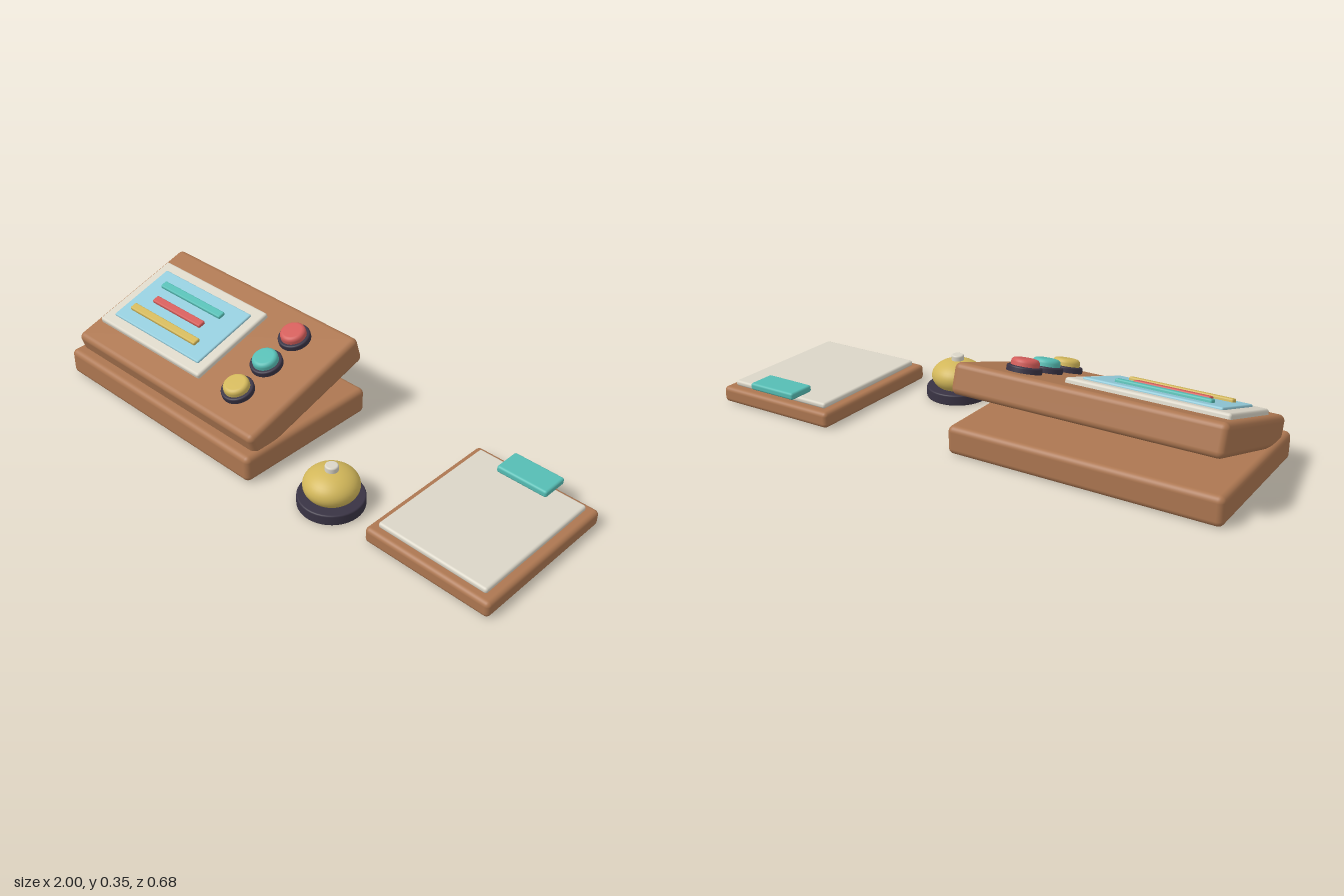
import * as THREE from 'three';
import { RoundedBoxGeometry } from 'three/addons/geometries/RoundedBoxGeometry.js';

const paint = (name, color) => {
  const m = new THREE.MeshStandardMaterial({ color });
  m.name = name;
  return m;
};

export function createModel() {
  const wood = paint('wood', 0xad7751);
  const cream = paint('cream', 0xdad5c7);
  const glass = paint('pale blue glass', 0x93cbda);
  const teal = paint('teal', 0x56bdb4);
  const red = paint('red', 0xd35d5a);
  const gold = paint('gold', 0xd2b75a);
  const dark = paint('dark plum', 0x393344);

  const add = (parent, name, geometry, material, x, y, z) => {
    const mesh = new THREE.Mesh(geometry, material);
    mesh.name = name;
    mesh.position.set(x, y, z);
    parent.add(mesh);
    return mesh;
  };
  const group = (parent, name) => {
    const g = new THREE.Group();
    g.name = name;
    parent.add(g);
    return g;
  };
  const slab = (w, h, d, r) => new RoundedBoxGeometry(w, h, d, 4, r);

  // Disc standing on y = 0 with rounded rims
  const disc = (r, h, bottomRim, topRim) => {
    const pts = [new THREE.Vector2(0, 0)];
    const arc = (rim, y, start) => {
      for (let i = 0; i <= 5; i++) {
        const a = start + (i / 5) * Math.PI / 2;
        pts.push(new THREE.Vector2(r - rim + rim * Math.cos(a), y + rim * Math.sin(a)));
      }
    };
    arc(bottomRim, bottomRim, -Math.PI / 2);
    arc(topRim, h - topRim, 0);
    pts.push(new THREE.Vector2(0, h));
    return new THREE.LatheGeometry(pts, 40);
  };

  const model = new THREE.Group();
  model.name = 'deskSet';

  // Console: flat base and a tilted control panel
  const desk = group(model, 'console');
  add(desk, 'consoleBase', slab(1.01, 0.105, 0.606, 0.022), wood, -0.495, 0.0525, 0.037);
  const panel = group(desk, 'controlPanel');
  panel.position.set(0, 0.198, 0.0215);
  panel.rotation.x = 0.3;
  add(panel, 'panelBody', slab(0.98, 0.112, 0.571, 0.022), wood, -0.495, 0, 0);

  // Screen with its frame and three readout bars
  add(panel, 'screenFrame', slab(0.577, 0.036, 0.373, 0.01), cream, -0.666, 0.057, -0.003);
  add(panel, 'screen', slab(0.49, 0.02, 0.286, 0.006), glass, -0.665, 0.073, -0.003);
  [[teal, 0.342], [red, 0.274], [gold, 0.376]].forEach(([material, width], i) => {
    add(panel, 'readoutBar', slab(width, 0.018, 0.032, 0.006), material, -0.681, 0.086, -0.078 + i * 0.075);
  });

  // Push buttons
  [red, teal, gold].forEach((material, i) => {
    const button = group(panel, 'pushButton');
    button.position.set(-0.206, 0.05, -0.157 + i * 0.15);
    add(button, 'buttonCollar', disc(0.0615, 0.027, 0.004, 0.006), dark, 0, 0, 0);
    add(button, 'buttonCap', disc(0.049, 0.036, 0.004, 0.015), material, 0, 0.017, 0);
  });

  // Counter bell
  const bell = group(model, 'bell');
  bell.position.set(0.284, 0, 0.207);
  add(bell, 'bellBase', disc(0.12, 0.042, 0.006, 0.006), dark, 0, 0, 0);
  const dome = add(bell, 'bellDome', new THREE.SphereGeometry(0.1, 40, 24), gold, 0, 0.083, 0);
  dome.scale.y = 0.64;
  add(bell, 'bellKnob', disc(0.024, 0.04, 0.004, 0.006), cream, 0, 0.126, 0);

  // Clipboard
  const clipboard = group(model, 'clipboard');
  add(clipboard, 'board', slab(0.506, 0.061, 0.608, 0.017), wood, 0.746, 0.0305, -0.03);
  add(clipboard, 'paper', slab(0.44, 0.022, 0.544, 0.0095), cream, 0.745, 0.071, -0.029);
  add(clipboard, 'clip', slab(0.205, 0.027, 0.109, 0.009), teal, 0.745, 0.0955, -0.287);

  return model;
}
